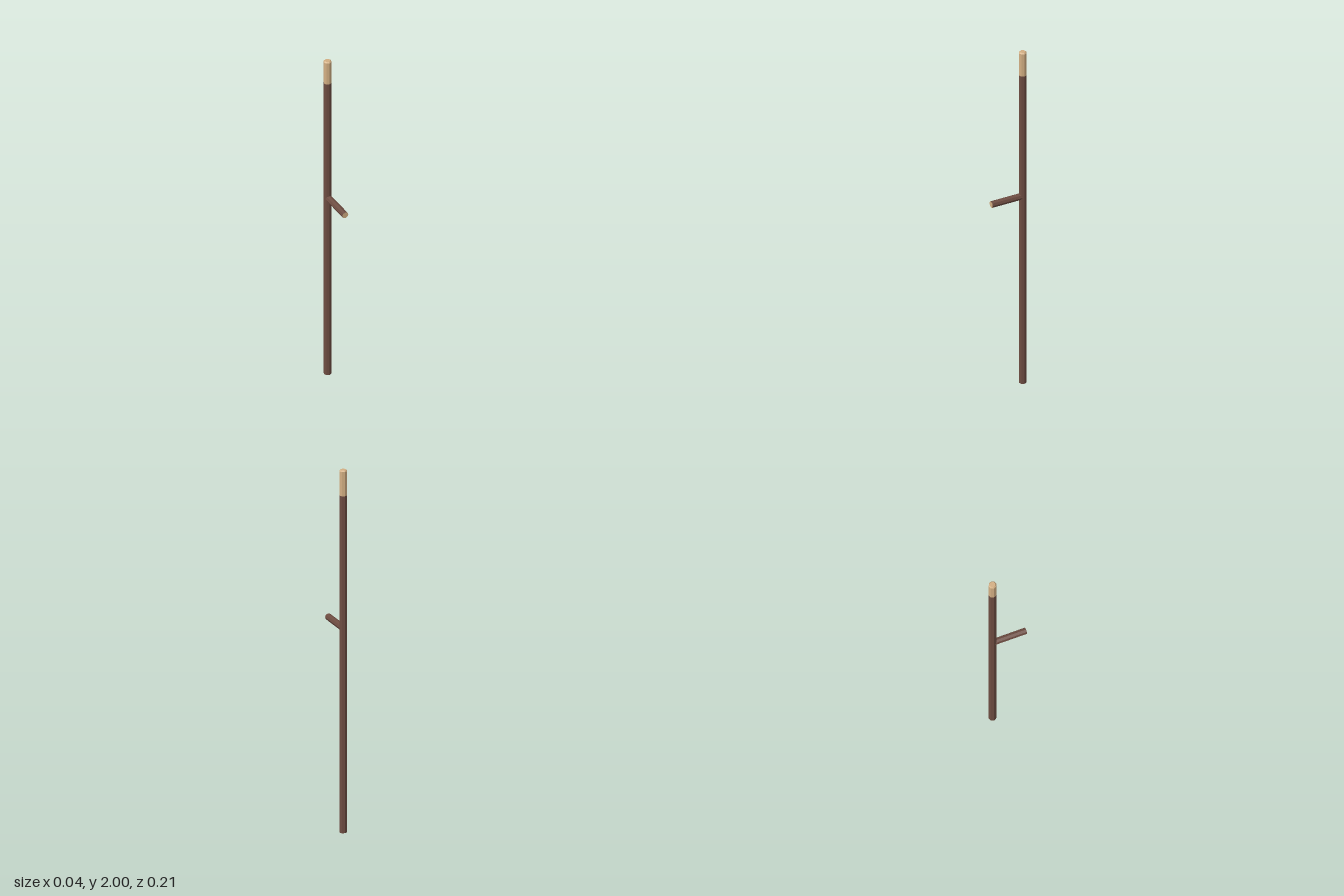
import * as THREE from 'three';

const SIDES = 8;
const POLE_Z = -0.082;
const POLE_R = 0.021;
const PEG_R = 0.018;

export function createModel() {
  const model = new THREE.Group();
  const bark = new THREE.MeshStandardMaterial({ color: 0x6d4c41, flatShading: true });
  const wood = new THREE.MeshStandardMaterial({ color: 0xd2ae82, flatShading: true });

  const add = (name, geometry, material, y, z) => {
    const mesh = new THREE.Mesh(geometry, material);
    mesh.name = name;
    mesh.position.set(0, y, z);
    model.add(mesh);
    return mesh;
  };

  // Long dark shaft, closed at the foot
  const shaftTop = 1.86;
  add('shaft', new THREE.CylinderGeometry(POLE_R, POLE_R, shaftTop, SIDES), bark, shaftTop / 2, POLE_Z);

  // Bare wooden tip with a small chamfer around the top
  const tipProfile = [
    [POLE_R, 0],
    [POLE_R, 0.134],
    [0.015, 0.14],
    [0, 0.14],
  ].map(([r, y]) => new THREE.Vector2(r, y));
  add('tip', new THREE.LatheGeometry(tipProfile, SIDES), wood, shaftTop, POLE_Z);

  // Side peg pointing forward, with a cut wooden end
  const pegEnd = 0.103;
  const pegLength = pegEnd - POLE_Z;
  const pegY = 1.126;
  const peg = new THREE.CylinderGeometry(PEG_R, PEG_R, pegLength, SIDES, 1, true).rotateX(Math.PI / 2);
  add('peg', peg, bark, pegY, POLE_Z + pegLength / 2);
  add('pegCutEnd', new THREE.CircleGeometry(PEG_R, SIDES), wood, pegY, pegEnd);

  return model;
}
